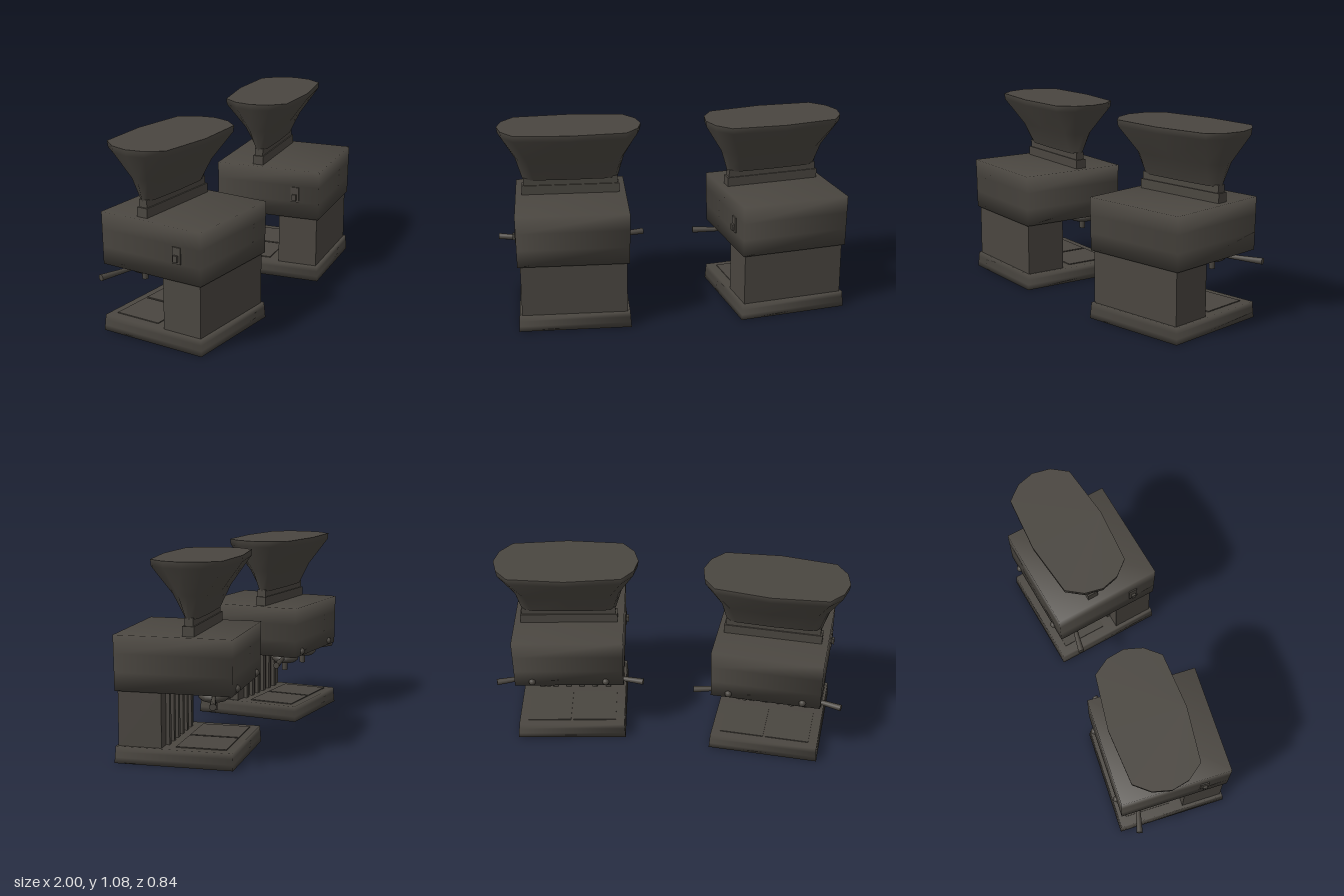
import * as THREE from 'three';
import { mergeVertices } from 'three/addons/utils/BufferGeometryUtils.js';

const metal = new THREE.MeshStandardMaterial({ color: 0x4a4640 });
metal.name = 'dark bronze grey';

function add(parent, name, geometry, x = 0, y = 0, z = 0) {
  const mesh = new THREE.Mesh(geometry, metal);
  mesh.name = name;
  mesh.position.set(x, y, z);
  parent.add(mesh);
  return mesh;
}

const box = (w, h, d) => new THREE.BoxGeometry(w, h, d);

// Box with shared corners (soft shading), scaled at its top
function softBox(w, h, d, topScale) {
  let g = new THREE.BoxGeometry(w, h, d, 1, 3, 1);
  g.deleteAttribute('normal');
  g.deleteAttribute('uv');
  const p = g.attributes.position;
  for (let i = 0; i < p.count; i++) {
    const s = 1 + (topScale - 1) * (p.getY(i) / h + 0.5);
    p.setX(i, p.getX(i) * s);
    p.setZ(i, p.getZ(i) * s);
  }
  g = mergeVertices(g);
  g.computeVertexNormals();
  return g;
}

// Flared twelve-sided hopper lofted through rings of [y, half width, half depth]
function hopperGeometry() {
  const quarter = [[0, 1], [0.77, 0.87], [0.94, 0.47], [1, 0]];
  const outline = [
    ...quarter,
    ...quarter.slice(0, 3).reverse().map(([x, z]) => [x, -z]),
    ...quarter.slice(1).map(([x, z]) => [-x, -z]),
    ...quarter.slice(1, 3).reverse().map(([x, z]) => [-x, z]),
  ];
  const rings = [[0.765, 0.27, 0.042], [0.89, 0.308, 0.105], [1.04, 0.4, 0.214], [1.075, 0.405, 0.217]];
  const n = outline.length;
  const pos = [], idx = [];
  const ring = ([y, a, b]) => outline.forEach(([x, z]) => pos.push(x * a, y, z * b));
  rings.forEach(ring);
  for (let r = 0; r < rings.length - 1; r++) {
    for (let i = 0; i < n; i++) {
      const a = r * n + i, b = r * n + (i + 1) % n;
      idx.push(a, b, b + n, a, b + n, a + n);
    }
  }
  // Flat lids with their own corners
  for (const [k, up] of [[rings.length - 1, true], [0, false]]) {
    const start = pos.length / 3;
    ring(rings[k]);
    for (let i = 1; i < n - 1; i++) {
      idx.push(start, start + (up ? i : i + 1), start + (up ? i + 1 : i));
    }
  }
  const g = new THREE.BufferGeometry();
  g.setAttribute('position', new THREE.Float32BufferAttribute(pos, 3));
  g.setIndex(idx);
  g.computeVertexNormals();
  return g;
}

// Brewing group with spout and angled handle
function brewGroup(side) {
  const g = new THREE.Group();
  g.name = side > 0 ? 'leftBrewGroup' : 'rightBrewGroup';
  g.position.set(side * 0.135, 0, -0.172);
  const profile = [[0, 0.325], [0.062, 0.325], [0.08, 0.34], [0.083, 0.36], [0.065, 0.372], [0.065, 0.39]];
  add(g, 'brewHead', new THREE.LatheGeometry(profile.map(([x, y]) => new THREE.Vector2(x, y)), 20));
  add(g, 'spout', new THREE.CylinderGeometry(0.017, 0.017, 0.06, 12), 0, 0.304, 0);

  const start = new THREE.Vector3(side * 0.06, 0.355, -0.015);
  const end = new THREE.Vector3(side * 0.288, 0.355, -0.073);
  const dir = end.clone().sub(start);
  const handle = add(g, 'handle', new THREE.CylinderGeometry(0.018, 0.01, dir.length(), 12));
  handle.position.copy(start).add(end).multiplyScalar(0.5);
  handle.quaternion.setFromUnitVectors(new THREE.Vector3(0, 1, 0), dir.normalize());
  return g;
}

function createMachine(name) {
  const m = new THREE.Group();
  m.name = name;

  // Body
  add(m, 'base', softBox(0.63, 0.09, 0.64, 0.98), 0, 0.045, 0);
  add(m, 'column', box(0.59, 0.3, 0.235), 0, 0.237, 0.185);
  add(m, 'head', softBox(0.62, 0.295, 0.63, 1.012), 0, 0.5325, 0);

  // Ribs on the inner face of the column
  for (let i = 0; i < 6; i++) {
    add(m, 'columnRib', box(0.03, 0.295, 0.025), -0.2 + i * 0.08, 0.237, 0.06);
  }

  // Drip plates and brewing groups, mirrored
  for (const side of [1, -1]) {
    add(m, 'dripPlate', box(0.25, 0.008, 0.27), side * 0.132, 0.091, -0.135);
    m.add(brewGroup(side));
    add(m, 'frontKnob', new THREE.SphereGeometry(0.02, 12, 8), side * 0.21, 0.41, -0.314);
  }

  // Side switch
  add(m, 'switchPlate', box(0.009, 0.09, 0.05), -0.315, 0.53, 0.17);
  add(m, 'switchLever', box(0.02, 0.035, 0.025), -0.322, 0.515, 0.17);

  // Neck and hopper
  add(m, 'neckCollar', box(0.555, 0.055, 0.064), 0, 0.705, -0.075);
  add(m, 'neck', box(0.535, 0.05, 0.05), 0, 0.75, -0.075);
  add(m, 'hopper', hopperGeometry(), 0, 0, -0.077);
  return m;
}

export function createModel() {
  const model = new THREE.Group();
  model.name = 'coffeeMachines';
  const placements = [
    ['rightMachine', -0.567, 0.085, 2],
    ['leftMachine', 0.615, -0.04, 14],
  ];
  for (const [name, x, z, degrees] of placements) {
    const machine = createMachine(name);
    machine.position.set(x, 0, z);
    machine.rotation.y = THREE.MathUtils.degToRad(degrees);
    model.add(machine);
  }
  return model;
}
